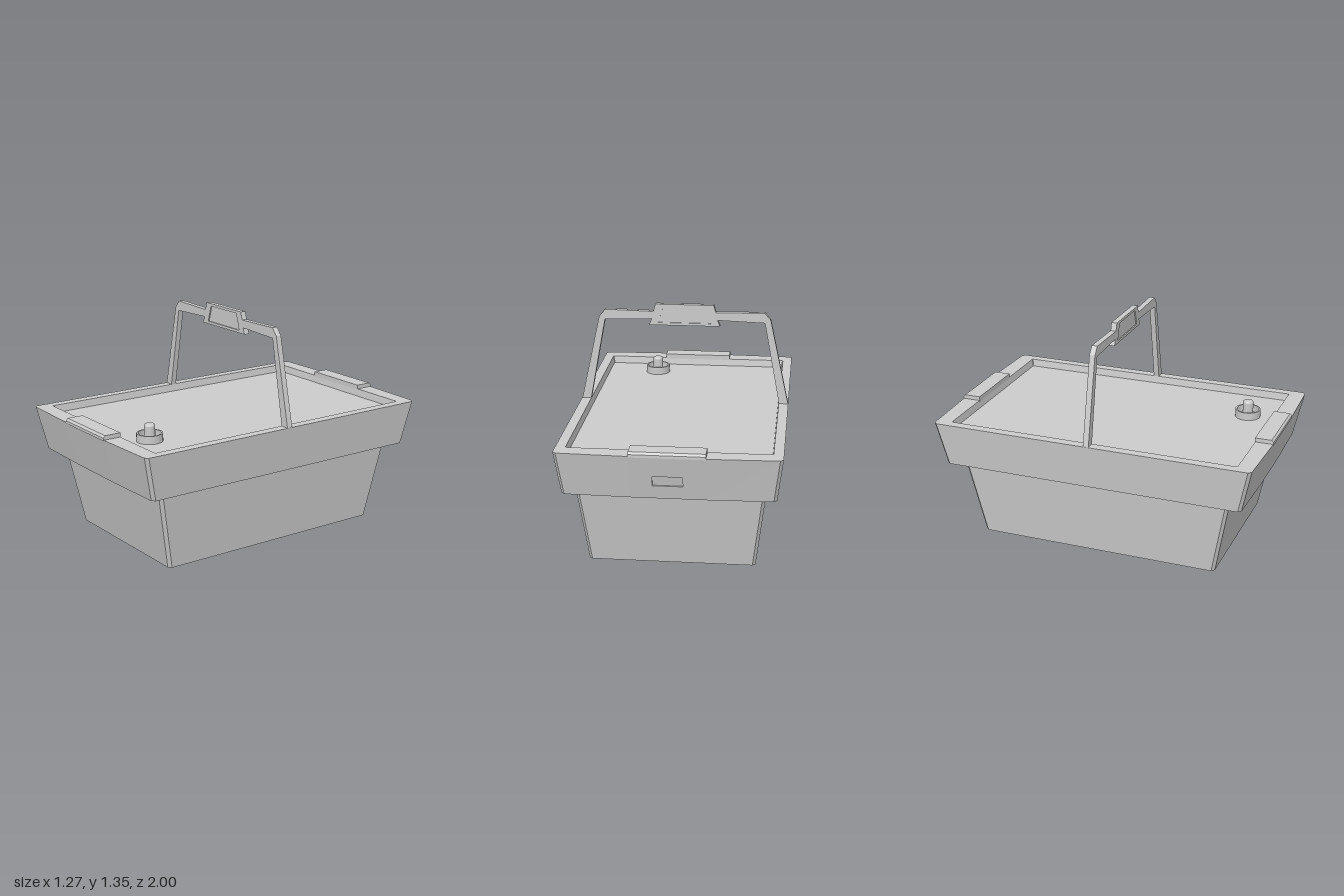
import * as THREE from 'three';

const HX = 0.215; // half width of the flat middle of each end wall

// Chamfered rectangle in the xz plane, its ends bowed out by b
function ring(hx, hz, c, b, y) {
  const half = [[hx, hz - c], [hx - c, hz], [HX, hz + b], [-HX, hz + b], [-hx + c, hz], [-hx, hz - c]];
  return [...half, ...half.map(([x, z]) => [-x, -z])].map(([x, z]) => [x, y, z]);
}

// Skins a stack of rings and caps both ends; skip(row, i) leaves a quad open
function loft(rings, skip) {
  const pos = [], n = rings[0].length;
  const tri = (...p) => p.forEach((v) => pos.push(...v));
  const first = rings[0], last = rings[rings.length - 1];
  for (let i = 0; i < n; i++) {
    const j = (i + 1) % n;
    tri([0, first[0][1], 0], first[i], first[j]);
    tri([0, last[0][1], 0], last[j], last[i]);
    for (let r = 0; r < rings.length - 1; r++) {
      if (skip(r, i)) continue;
      const lo = rings[r], hi = rings[r + 1];
      tri(lo[j], lo[i], hi[i]);
      tri(lo[j], hi[i], hi[j]);
    }
  }
  const g = new THREE.BufferGeometry();
  g.setAttribute('position', new THREE.Float32BufferAttribute(pos, 3));
  g.computeVertexNormals();
  return g;
}

const points = (list) => list.map(([x, y]) => new THREE.Vector2(x, y));
// Closes a half outline by mirroring it across x = 0
const mirrored = (half) => points([...half, ...half.map(([x, y]) => [-x, y]).reverse()]);
const extrude = (shape, depth) => new THREE.ExtrudeGeometry(shape, { depth, bevelEnabled: false });

export function createModel() {
  const model = new THREE.Group();
  const flat = new THREE.MeshStandardMaterial({ color: 0xcccccc, flatShading: true });
  const smooth = new THREE.MeshStandardMaterial({ color: 0xcccccc });
  const add = (name, geometry, material = flat) => {
    const mesh = new THREE.Mesh(geometry, material);
    mesh.name = name;
    model.add(mesh);
    return mesh;
  };

  // Tapered tub, wide upper band and sunken lid; the middle of the band's back is left open
  add('tub', loft([
    ring(0.485, 0.745, 0.018, 0, 0),
    ring(0.54, 0.835, 0.018, 0, 0.465),
    ring(0.605, 0.925, 0.018, 0.01, 0.478),
    ring(0.637, 0.985, 0.018, 0.013, 0.745),
    ring(0.579, 0.89, 0.003, 0, 0.745),
    ring(0.572, 0.883, 0.003, 0, 0.7),
  ], (row, i) => row === 2 && i === 8));

  // Back wall panel with a shallow rectangular pocket, sloped to match the band
  const slope = (g) => {
    const p = g.attributes.position;
    for (let i = 0; i < p.count; i++) {
      const t = (p.getY(i) - 0.478) / 0.267;
      p.setZ(i, p.getZ(i) - (0.935 + 0.063 * t));
    }
    g.computeVertexNormals();
    return g;
  };
  const wall = new THREE.Shape(mirrored([[HX, 0.478], [HX, 0.745]]));
  wall.holes.push(new THREE.Path(mirrored([[0.085, 0.56], [0.085, 0.62]])));
  add('backPanel', slope(extrude(wall, 0.012)));
  const pocket = extrude(new THREE.Shape(mirrored([[0.09, 0.555], [0.09, 0.625]])), 0.004);
  add('backPocket', slope(pocket.translate(0, 0, 0.01)));

  // Raised tabs on the front and back rims
  const tab = new THREE.Shape(points([
    [0.888, 0.74], [1, 0.74], [1, 0.757], [0.988, 0.77], [0.888, 0.77],
  ]));
  const tabGeometry = extrude(tab, 2 * HX).translate(0, 0, -HX).rotateY(-Math.PI / 2);
  add('frontTab', tabGeometry);
  add('backTab', tabGeometry).rotation.y = Math.PI;

  // Arched carrying handle with a window in the grip
  const handle = new THREE.Shape(mirrored([
    [0.58, 0.745], [0.635, 0.745], [0.52, 1.268], [0.483, 1.312], [0.19, 1.306], [0.176, 1.352],
  ]).concat(points([
    [-0.58, 0.745], [-0.485, 1.25], [-0.2, 1.26], [-0.215, 1.222],
    [0.215, 1.222], [0.2, 1.26], [0.485, 1.25],
  ]).slice(1)));
  const window = [[0.16, 1.238], [0.13, 1.336]];
  handle.holes.push(new THREE.Path(mirrored(window)));
  add('handle', extrude(handle, 0.034).translate(0, 0, -0.017));
  // Thin web filling the window
  add('gripPanel', extrude(new THREE.Shape(mirrored(window)), 0.02).translate(0, 0, -0.01));

  // Collar and knob on the lid
  const collar = [[0.077, 0.695], [0.077, 0.748], [0.067, 0.748], [0.067, 0.705], [0, 0.705]];
  add('knobCollar', new THREE.LatheGeometry(points(collar), 32), flat).position.set(0.25, 0, 0.715);
  const side = [[0.032, 0.7], [0.032, 0.79]];
  const dome = [[0.032, 0.79], [0.029, 0.799], [0.022, 0.803], [0, 0.803]];
  for (const [name, profile] of [['knobStem', side], ['knobTop', dome]]) {
    add(name, new THREE.LatheGeometry(points(profile), 32), smooth).position.set(0.25, 0, 0.715);
  }
  return model;
}
